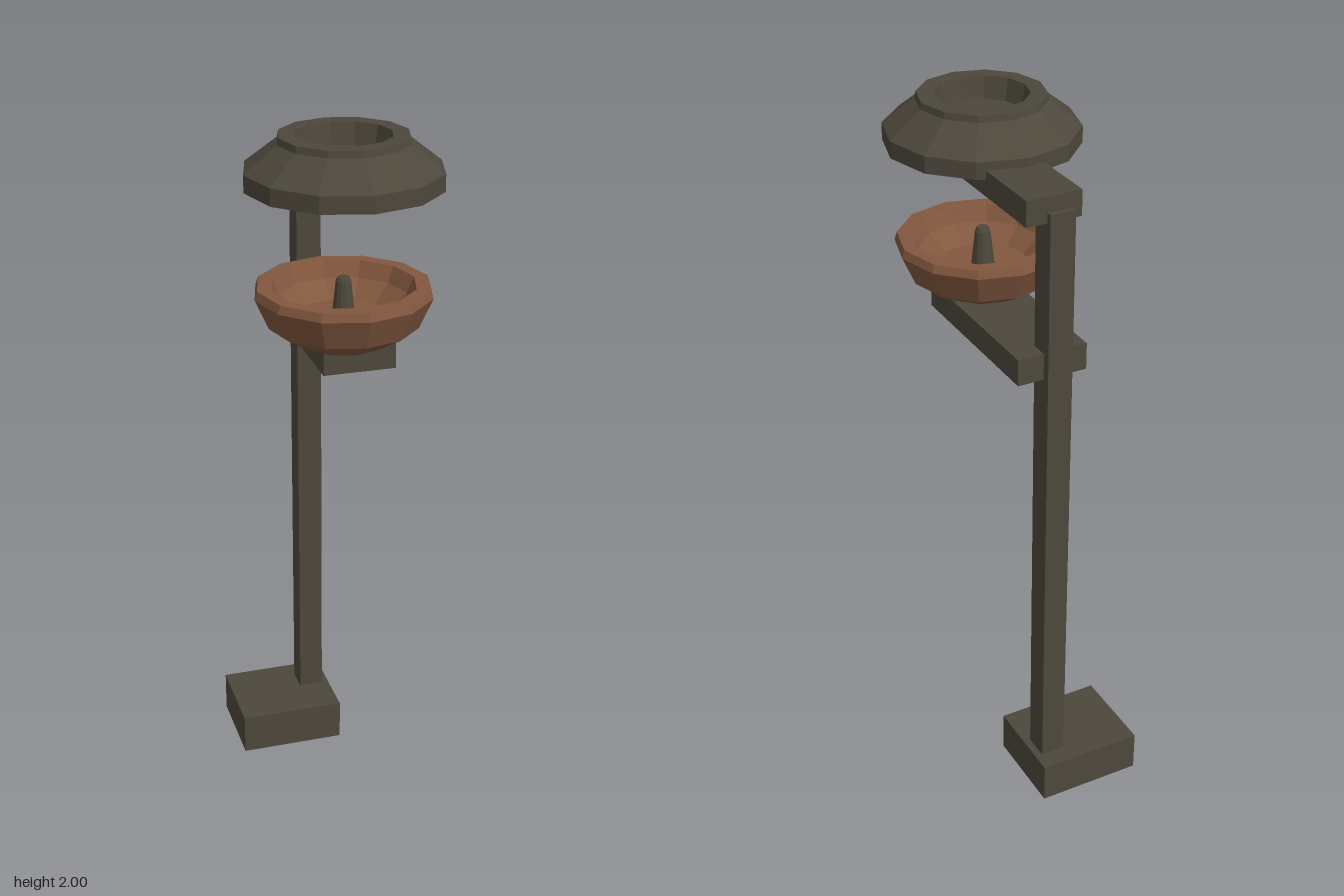
import * as THREE from 'three';

export function createModel() {
  const group = new THREE.Group();
  const iron = new THREE.MeshStandardMaterial({ color: 0x4d483c, flatShading: true });
  iron.name = 'dark iron';
  const copper = new THREE.MeshStandardMaterial({ color: 0x83583f, flatShading: true });
  copper.name = 'copper';

  const add = (name, geometry, material, x, y, z) => {
    const mesh = new THREE.Mesh(geometry, material);
    mesh.name = name;
    mesh.position.set(x, y, z);
    group.add(mesh);
  };
  // Box given by its low and high limits on each axis
  const box = (name, [x0, x1], [y0, y1], [z0, z1]) =>
    add(name, new THREE.BoxGeometry(x1 - x0, y1 - y0, z1 - z0), iron,
      (x0 + x1) / 2, (y0 + y1) / 2, (z0 + z1) / 2);
  // Faceted turned part, profile in [radius, height] pairs from the underside round to the inside
  const turned = (name, profile, material) =>
    add(name, new THREE.LatheGeometry(profile.map(([r, y]) => new THREE.Vector2(r, y)), 12),
      material, 0, 0, 0.125);

  // Stand
  box('base', [-0.237, 0.07], [0, 0.12], [-0.39, -0.13]);
  box('post', [-0.022, 0.049], [0.1, 1.847], [-0.336, -0.261]);
  box('lowerArm', [-0.077, 0.123], [1.38, 1.455], [-0.312, 0.2]);
  box('upperArm', [-0.047, 0.108], [1.82, 1.89], [-0.321, 0.046]);

  // Open bowl with a dished inside
  turned('bowl', [
    [0, 1.445], [0.115, 1.445], [0.203, 1.497], [0.24, 1.58], [0.233, 1.603],
    [0.195, 1.603], [0.175, 1.56], [0.125, 1.515], [0, 1.515],
  ], copper);

  // Tapered spike in the bowl
  turned('spike', [[0.032, 1.51], [0.021, 1.61], [0.016, 1.622], [0, 1.622]], iron);

  // Hood with a recessed top
  turned('hood', [
    [0, 1.867], [0.263, 1.867], [0.263, 1.913], [0.175, 1.982], [0.172, 2],
    [0.127, 2], [0.115, 1.94], [0, 1.94],
  ], iron);

  return group;
}
